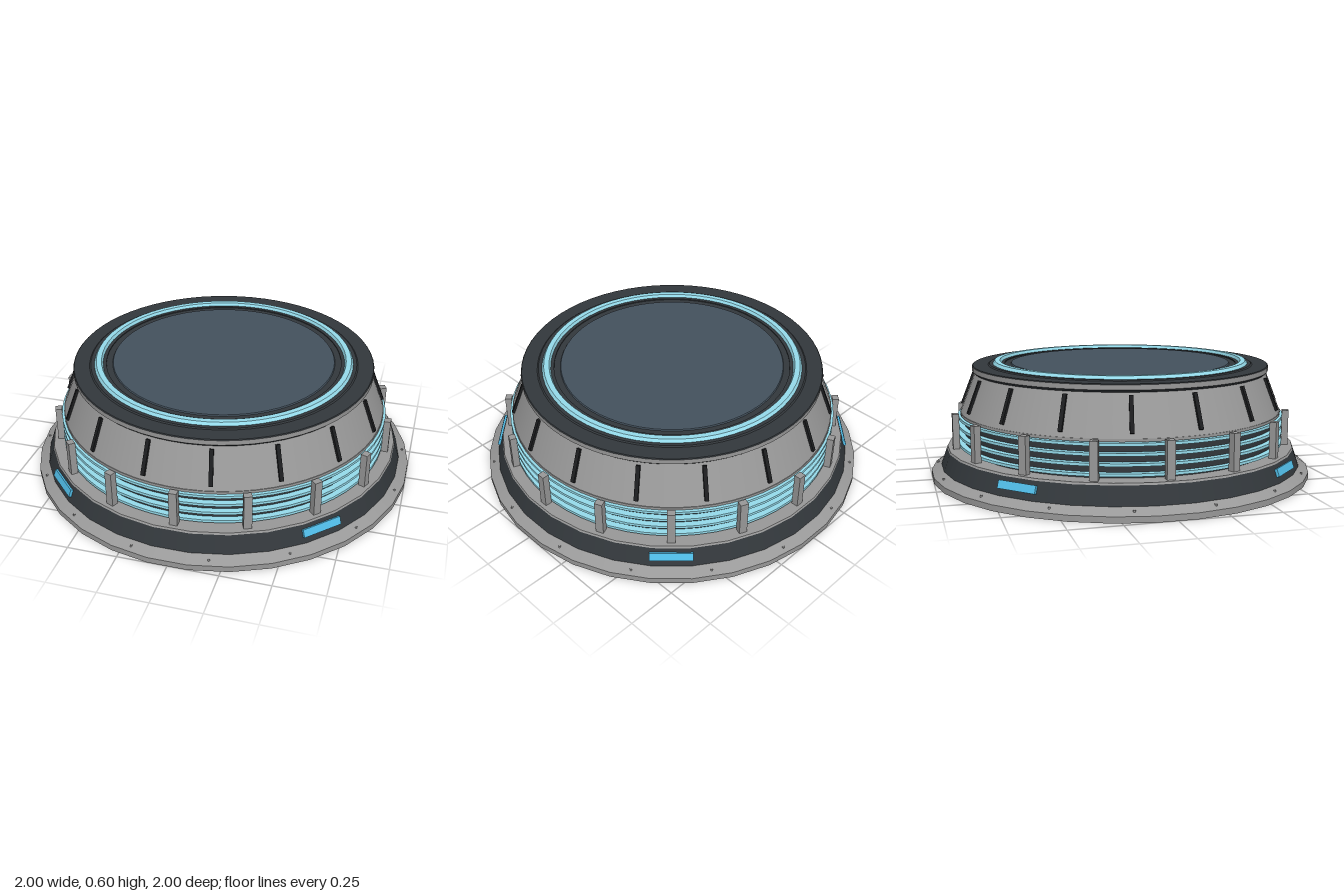
import * as THREE from 'three';

const mat = (color) => new THREE.MeshStandardMaterial({ color });
const GREY = mat(0x999999), DARK = mat(0x33383c), BLACK = mat(0x1c1d1f);
const GLOW = mat(0x96dcec), PANEL = mat(0x52bfea), SLATE = mat(0x44525e);

export function createModel() {
  const model = new THREE.Group();
  model.name = 'roundPlatform';

  const add = (name, geo, material, parent = model) => {
    const mesh = new THREE.Mesh(geo, material);
    mesh.name = name;
    parent.add(mesh);
    return mesh;
  };

  // Capped round tier from y0 (radius r0) to y1 (radius r1); a flat side faces the front
  const tier = (name, r0, r1, y0, y1, material, seg = 64) => {
    const geo = new THREE.CylinderGeometry(r1, r0, y1 - y0, seg, 1, false, Math.PI / seg);
    return add(name, geo.translate(0, (y0 + y1) / 2, 0), material);
  };

  // Flat-topped ring from a closed cross-section of [radius, y] points, sharp at each corner
  const ring = (name, points, material, seg = 64) => {
    const group = new THREE.Group();
    group.name = name;
    points.forEach((p, i) => {
      const q = points[(i + 1) % points.length];
      const profile = [new THREE.Vector2(...p), new THREE.Vector2(...q)];
      add(name + 'Face', new THREE.LatheGeometry(profile, seg, Math.PI / seg), material, group);
    });
    model.add(group);
  };

  // Places count copies around the axis; make(holder) builds one facing +z
  const around = (name, count, offset, make) => {
    const group = new THREE.Group();
    group.name = name + 's';
    for (let i = 0; i < count; i++) {
      const holder = new THREE.Group();
      holder.name = name;
      holder.rotation.y = ((i + offset) / count) * Math.PI * 2;
      make(holder);
      group.add(holder);
    }
    model.add(group);
  };

  // Stepped base
  tier('basePlate', 1.005, 1.005, 0, 0.03, GREY, 32);
  tier('baseBevel', 1.005, 0.958, 0.03, 0.06, GREY, 32);
  tier('darkSkirt', 0.953, 0.922, 0.06, 0.148, DARK, 32);
  tier('skirtLedge', 0.922, 0.918, 0.148, 0.158, GREY, 32);
  around('baseBolt', 16, 0.5, (h) => {
    add('boltHead', new THREE.CylinderGeometry(0.006, 0.006, 0.012, 8), GREY, h)
      .position.set(0, 0.046, 0.976);
  });

  // Light panels on the four diagonals of the skirt
  around('lightPanel', 4, 0.5, (h) => {
    const panel = add('panelFace', new THREE.BoxGeometry(0.21, 0.04, 0.02), PANEL, h);
    panel.position.set(0, 0.11, 0.932);
    panel.rotation.x = -0.34;
  });

  // Dark vent band with glowing rings and upright posts
  tier('ventBand', 0.83, 0.83, 0.158, 0.33, DARK);
  for (const y of [0.178, 0.225, 0.272, 0.318]) {
    ring('glowRing', [[0.825, y - 0.007], [0.86, y - 0.007], [0.86, y + 0.007], [0.825, y + 0.007]], GLOW);
  }
  around('ventPost', 16, 0, (h) => {
    add('postBar', new THREE.BoxGeometry(0.04, 0.182, 0.034), GREY, h).position.set(0, 0.249, 0.876);
  });

  // Sloped upper body with dark fins lying on the slope
  tier('bodyLip', 0.848, 0.848, 0.328, 0.342, GREY);
  tier('upperBody', 0.845, 0.765, 0.342, 0.545, GREY);
  around('bodyFin', 16, 0.5, (h) => {
    const fin = add('finBar', new THREE.BoxGeometry(0.02, 0.175, 0.024), BLACK, h);
    fin.position.set(0, 0.445, 0.804);
    fin.rotation.x = -Math.atan2(0.08, 0.203);
  });

  // Top rim, glowing ring and slate deck
  tier('rimNeck', 0.768, 0.78, 0.54, 0.552, DARK);
  tier('rimBand', 0.78, 0.78, 0.552, 0.576, GREY);
  tier('rimTop', 0.78, 0.776, 0.576, 0.58, DARK);
  ring('glowSeat', [[0.61, 0.578], [0.7, 0.578], [0.69, 0.585], [0.61, 0.585]], DARK);
  ring('topGlow', [[0.625, 0.58], [0.675, 0.58], [0.662, 0.6], [0.635, 0.6]], GLOW);
  tier('deck', 0.58, 0.575, 0.578, 0.586, SLATE);

  return model;
}
